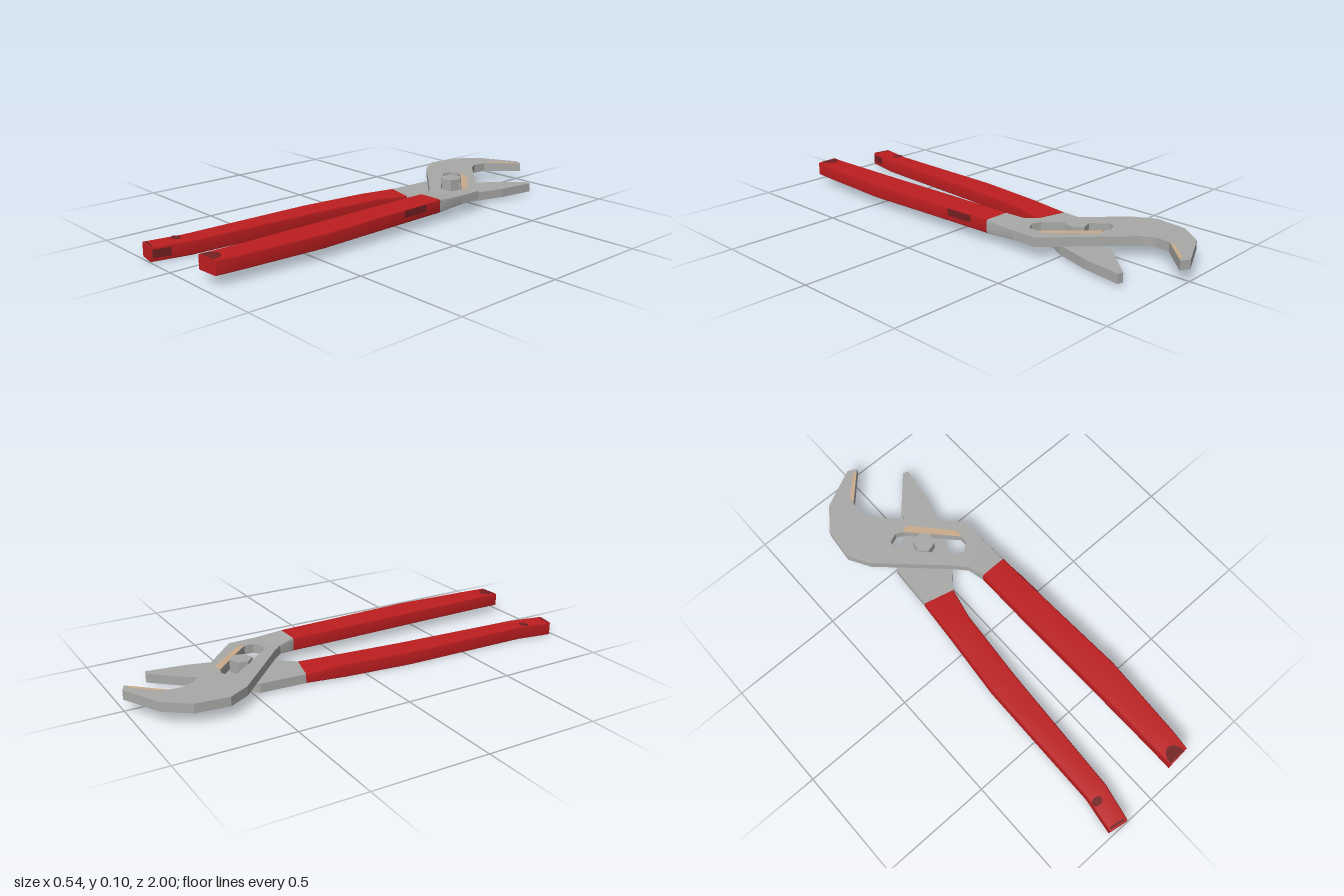
import * as THREE from 'three';

const metal = new THREE.MeshStandardMaterial({ color: 0xa9a9a8 });
metal.name = 'steel grey';
const red = new THREE.MeshStandardMaterial({ color: 0xbe1e20 });
red.name = 'grip red';
const darkRed = new THREE.MeshStandardMaterial({ color: 0x742022 });
darkRed.name = 'worn dark red';
const tan = new THREE.MeshStandardMaterial({ color: 0xc9ab8d });
tan.name = 'worn tan';

// Flat plate from an [x, z] outline, lying between heights y0 and y1
function plate(outline, y0, y1, hole) {
  const toVec = ([x, z]) => new THREE.Vector2(x, -z);
  const shape = new THREE.Shape(outline.map(toVec));
  if (hole) shape.holes.push(new THREE.Path(hole.map(toVec)));
  const geo = new THREE.ExtrudeGeometry(shape, { depth: y1 - y0, bevelEnabled: false });
  return geo.rotateX(-Math.PI / 2).translate(0, y0, 0);
}

// Bar lofted along z. Each station: [xLeft, zLeft, xRight, zRight, yBottom, yTop, chamfer]
function loft(stations) {
  const rings = stations.map(([lx, lz, rx, rz, b, t, c]) => {
    const f = c / (rx - lx);
    const section = [[1 - f, b], [1, b + c], [1, t - c], [1 - f, t], [f, t], [0, t - c], [0, b + c], [f, b]];
    return section.map(([u, y]) => [lx + (rx - lx) * u, y, lz + (rz - lz) * u]);
  });
  const n = 8, pos = rings.flat(2), index = [];
  for (let i = 0; i < rings.length - 1; i++) {
    for (let j = 0; j < n; j++) {
      const a = i * n + j, b = i * n + (j + 1) % n;
      index.push(a, b, a + n, b, b + n, a + n);
    }
  }
  // End caps with their own corners, so their edges stay sharp
  [rings[0], rings[rings.length - 1]].forEach((ring, end) => {
    const s = pos.length / 3;
    pos.push(...ring.flat());
    for (let j = 1; j < n - 1; j++) index.push(s, end ? s + j : s + j + 1, end ? s + j + 1 : s + j);
  });
  const geo = new THREE.BufferGeometry();
  geo.setAttribute('position', new THREE.Float32BufferAttribute(pos, 3));
  geo.setIndex(index);
  geo.computeVertexNormals();
  return geo;
}

export function createModel() {
  const model = new THREE.Group();
  model.name = 'adjustablePliers';
  const add = (name, geo, material) => {
    const mesh = new THREE.Mesh(geo, material);
    mesh.name = name;
    model.add(mesh);
    return mesh;
  };

  // Hooked upper jaw with the adjusting slot
  add('upperJaw', plate([
    [0, -1], [-0.175, -0.915], [-0.255, -0.81], [-0.27, -0.665], [-0.215, -0.57],
    [0.055, -0.315], [0.1, -0.265], [0.237, -0.33], [0.235, -0.445],
    [-0.065, -0.735], [-0.092, -0.785], [-0.085, -0.85], [0.04, -0.98],
  ], 0.05, 0.09, [
    [-0.09, -0.56], [-0.08, -0.59], [-0.04, -0.605], [-0.01, -0.593],
    [0.173, -0.4], [0.172, -0.36], [0.13, -0.335], [0.09, -0.35],
  ]), metal);

  // Thin worn strips beside the slot and along the biting edge
  add('slotStrip', plate([[-0.01, -0.593], [0.025, -0.603], [0.178, -0.435], [0.173, -0.4]], 0.09, 0.091), tan);
  add('jawStrip', plate([[-0.085, -0.85], [0.025, -0.965], [0.012, -0.975], [-0.076, -0.885]], 0.09, 0.091), tan);

  // Neck that thickens from the upper jaw into its handle
  add('upperNeck', loft([
    [0.1, -0.265, 0.237, -0.33, 0.05, 0.09, 0.001],
    [0.12, -0.19, 0.241, -0.19, 0.04, 0.1, 0.006],
  ]), metal);

  // Lower jaw, running under the slot to the other handle
  add('lowerJaw', plate([
    [0.195, -0.84], [0.06, -0.69], [0.045, -0.64], [-0.06, -0.55], [-0.14, -0.48],
    [-0.15, -0.275], [-0.015, -0.24], [0.05, -0.32], [0.15, -0.5], [0.195, -0.66], [0.219, -0.833],
  ], 0.01, 0.05), metal);

  // Hexagonal pivot bolt
  const bolt = new THREE.CylinderGeometry(0.048, 0.048, 0.055, 6).toNonIndexed();
  bolt.computeVertexNormals();
  const boltMesh = add('pivotBolt', bolt, metal);
  boltMesh.position.set(0.026, 0.0755, -0.485);
  boltMesh.rotation.y = THREE.MathUtils.degToRad(-14);

  // Handle grips
  add('leftGrip', loft([
    [0.12, -0.19, 0.241, -0.19, 0.04, 0.1, 0.006],
    [0.122, 0.1, 0.251, 0.1, 0.04, 0.1, 0.006],
    [0.13, 0.48, 0.267, 0.48, 0.04, 0.1, 0.006],
    [0.135, 0.86, 0.246, 0.86, 0.04, 0.1, 0.006],
    [0.135, 0.957, 0.236, 0.95, 0.04, 0.1, 0.004],
  ]), red);
  add('rightGrip', loft([
    [-0.151, -0.275, -0.013, -0.24, 0.009, 0.051, 0.004],
    [-0.165, -0.09, -0.045, -0.1, 0, 0.06, 0.006],
    [-0.195, 0.22, -0.075, 0.24, 0, 0.06, 0.006],
    [-0.205, 0.82, -0.11, 0.835, 0, 0.06, 0.006],
    [-0.23, 0.982, -0.145, 0.997, 0, 0.06, 0.004],
  ]), red);

  // Thin dark wear marks on top of the grips
  const arc = (cx, cz, rx, rz, from, to) => Array.from({ length: 13 }, (_, i) => {
    const a = from + (to - from) * i / 12;
    return [cx + rx * Math.cos(a), cz + rz * Math.sin(a)];
  });
  add('leftEndMark', plate(arc(0.18, 0.95, 0.04, 0.055, Math.PI, Math.PI * 2), 0.1, 0.101), darkRed);
  add('rightTopMark', plate(arc(-0.185, 0.86, 0.025, 0.018, 0, Math.PI * 1.9), 0.06, 0.061), darkRed);
  add('rightEndMark', plate([[-0.222, 0.968], [-0.155, 0.98], [-0.153, 0.99], [-0.222, 0.978]], 0.06, 0.061), darkRed);

  // Thin dark wear marks on the sides of the grips
  add('leftSideMark', plate([[0.2441, -0.1], [0.2486, 0.03], [0.2501, 0.03], [0.2456, -0.1]], 0.065, 0.096), darkRed);
  add('rightSideMark', plate([[-0.1275, 0.916], [-0.143, 0.989], [-0.1415, 0.989], [-0.126, 0.916]], 0.015, 0.05), darkRed);

  return model;
}
